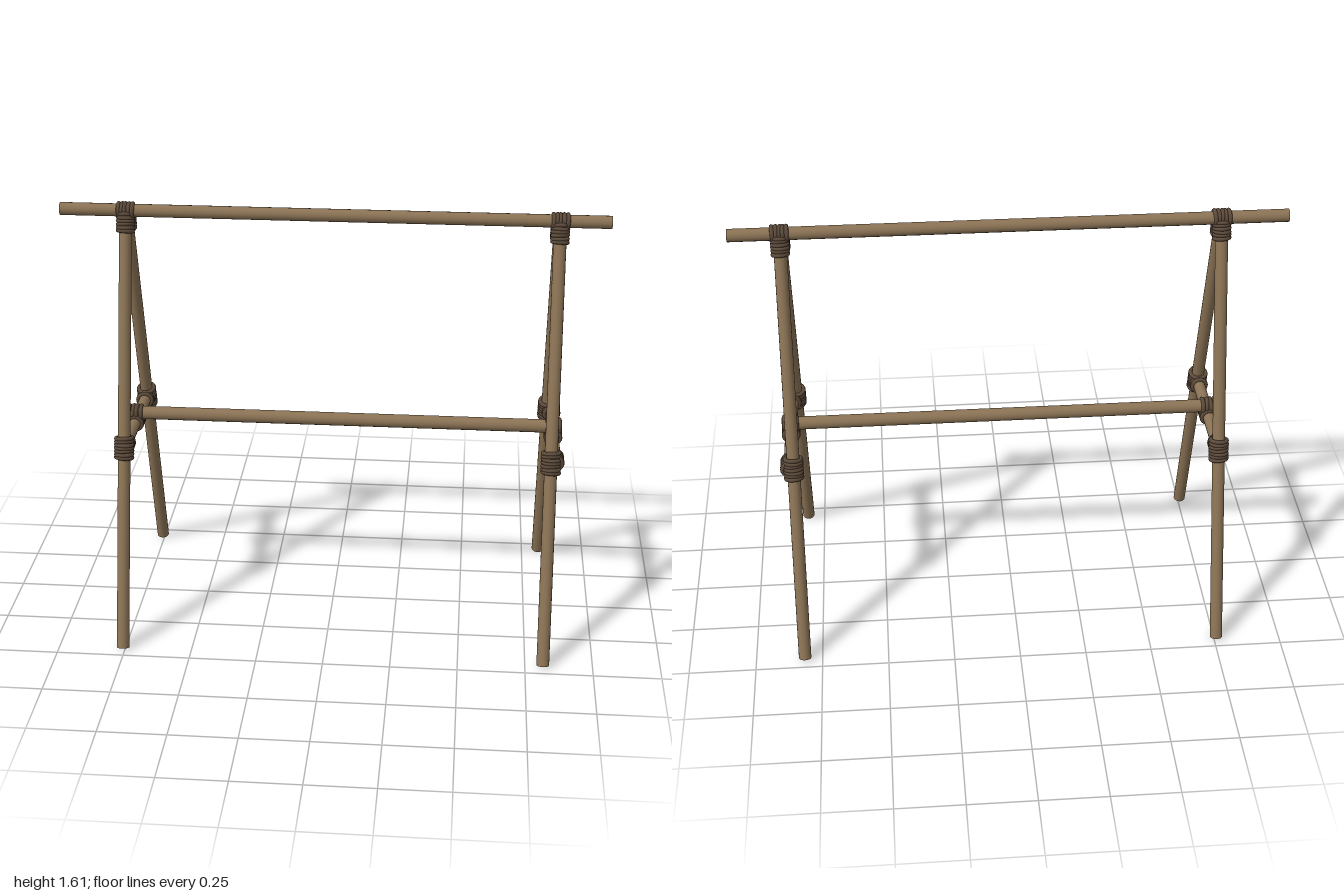
import * as THREE from 'three';

const wood = new THREE.MeshStandardMaterial({ color: 0x8b7355 });
wood.name = 'brown wood';
const rope = new THREE.MeshStandardMaterial({ color: 0x5c4a3a });
rope.name = 'dark rope';

const V = (x, y, z) => new THREE.Vector3(x, y, z);

// Round pole between two points
function pole(name, a, b, radius) {
  const dir = b.clone().sub(a);
  const mesh = new THREE.Mesh(new THREE.CylinderGeometry(radius, radius, dir.length(), 16), wood);
  mesh.name = name;
  mesh.position.copy(a).add(b).multiplyScalar(0.5);
  mesh.quaternion.setFromUnitVectors(V(0, 1, 0), dir.normalize());
  return mesh;
}

// Rope turns side by side around a pole; each turn leans a little differently
function lashing(name, centre, axis, length, turns, radius = 0.027) {
  const group = new THREE.Group();
  group.name = name;
  group.position.copy(centre);
  group.quaternion.setFromUnitVectors(V(0, 0, 1), axis.clone().normalize());
  const turn = new THREE.TorusGeometry(radius, 0.008, 8, 20);
  for (let i = 0; i < turns; i++) {
    const ring = new THREE.Mesh(turn, rope);
    ring.name = 'ropeTurn';
    ring.position.z = (i / (turns - 1) - 0.5) * length;
    ring.rotation.set(0.06 * Math.sin(i * 2.1), 0.06 * Math.cos(i * 1.7), 0);
    group.add(ring);
  }
  return group;
}

// A-shaped end: two legs, a cross bar and their lashings
function endFrame(name, x, barX) {
  const g = new THREE.Group();
  g.name = name;
  for (const s of [1, -1]) {
    const foot = V(x, 0.007, 0.453 * s), top = V(x, 1.575, 0.005 * s);
    const axis = top.clone().sub(foot);
    const at = (y) => foot.clone().lerp(top, (y - foot.y) / (top.y - foot.y));
    g.add(pole('leg', foot, top, 0.0235));
    g.add(lashing('topLegLashing', at(1.54), axis, 0.06, 6));
    g.add(lashing('middleLegLashing', at(0.74), axis, 0.072, 7, 0.03));
    g.add(lashing('crossBarLashing', V(barX, 0.74, 0.222 * s), V(0, 0, 1), 0.055, 5));
  }
  g.add(pole('crossBar', V(barX, 0.74, -0.255), V(barX, 0.74, 0.255), 0.0225));
  g.add(lashing('ridgeLashing', V(x, 1.581, 0), V(1, 0, 0), 0.05, 5, 0.0255));
  g.add(lashing('lowerRailLashing', V(barX, 0.775, 0), V(1, 0, 0), 0.045, 4, 0.0265));
  g.add(lashing('crossBarCentreLashing', V(barX, 0.74, 0), V(0, 0, 1), 0.055, 5));
  return g;
}

export function createModel() {
  const model = new THREE.Group();
  model.name = 'lashedPoleFrame';
  model.add(pole('ridgePole', V(-1, 1.581, -0.003), V(1, 1.581, -0.003), 0.0235));
  model.add(pole('lowerRail', V(-0.82, 0.775, 0), V(0.862, 0.775, 0), 0.025));
  model.add(endFrame('rightEndFrame', -0.758, -0.758));
  model.add(endFrame('leftEndFrame', 0.816, 0.83));
  return model;
}
